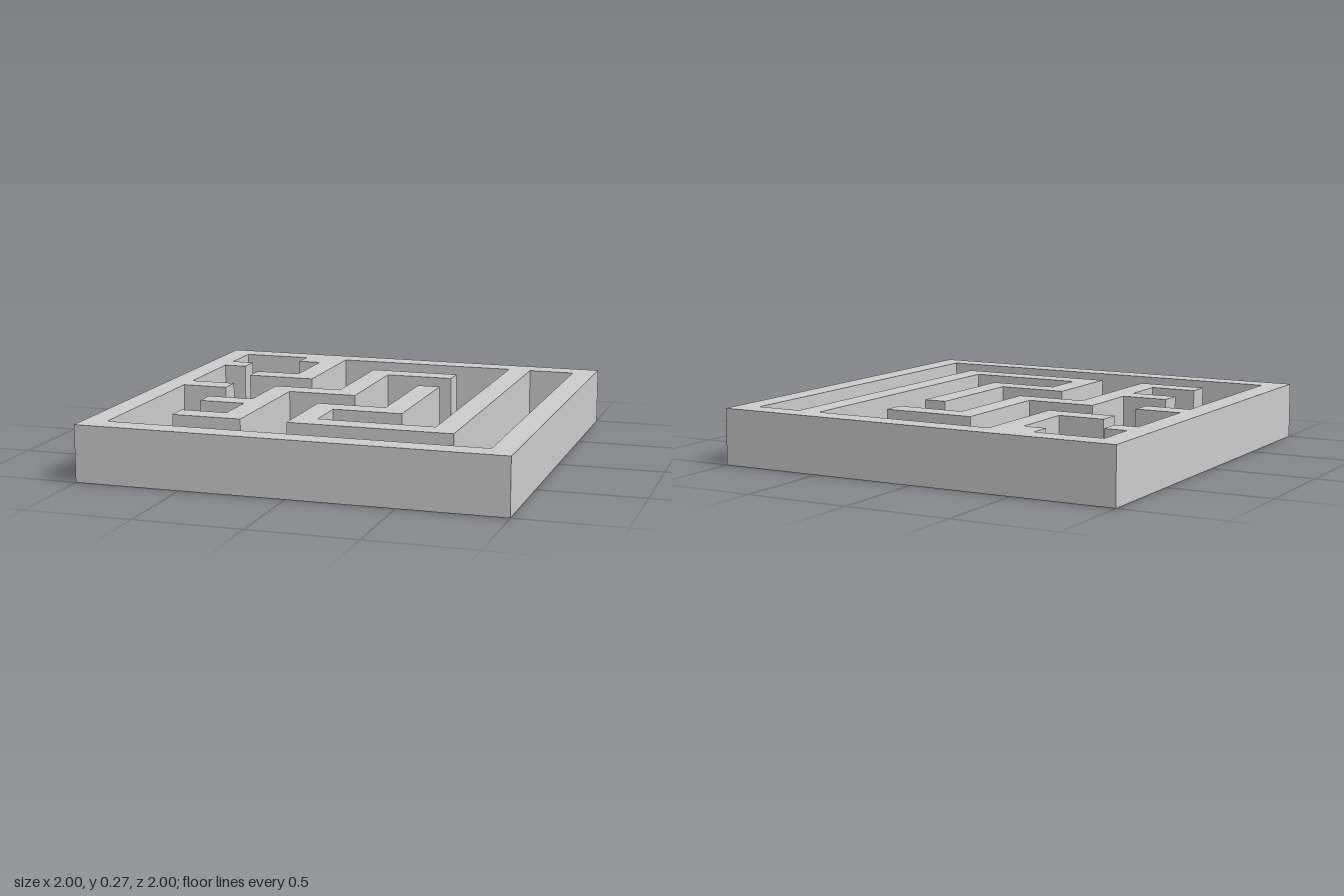
import * as THREE from 'three';

const CELL = 1 / 9; // the plan sits on an 18 x 18 grid of cells
const HEIGHT = 0.267;

// Outlines are flat lists of x, z in cells.
const toPoints = (plan) => {
  const points = [];
  for (let i = 0; i < plan.length; i += 2) {
    points.push(new THREE.Vector2(plan[i] * CELL, -plan[i + 1] * CELL));
  }
  return points;
};

// Hollow wall: extruded outline with a top and sides, open underneath.
function wall(name, outline, hole) {
  const shape = new THREE.Shape(toPoints(outline));
  if (hole) shape.holes.push(new THREE.Path(toPoints(hole)));
  const solid = new THREE.ExtrudeGeometry(shape, { depth: HEIGHT, bevelEnabled: false });
  solid.rotateX(-Math.PI / 2);

  const pos = solid.attributes.position;
  const normal = solid.attributes.normal;
  const kept = [];
  for (let i = 0; i < pos.count; i += 3) {
    if (normal.getY(i) < -0.5) continue; // leave out the underside
    for (let k = i; k < i + 3; k++) kept.push(pos.getX(k), pos.getY(k), pos.getZ(k));
  }
  const geometry = new THREE.BufferGeometry();
  geometry.setAttribute('position', new THREE.Float32BufferAttribute(kept, 3));
  geometry.computeVertexNormals();

  const mesh = new THREE.Mesh(geometry, new THREE.MeshStandardMaterial({
    color: 0xcccccc, flatShading: true, side: THREE.DoubleSide,
  }));
  mesh.name = name;
  return mesh;
}

export function createModel() {
  const group = new THREE.Group();
  group.name = 'maze';

  // Square frame with every wall that joins it
  const square = [-9, -9, 9, -9, 9, 9, -9, 9];
  const corridor = [
    // back left hook
    -8, -8, -5, -8, -5, -7, -4, -7, -4, -4, -6, -4, -6, -3, -3, -3, -3, -8,
    // long wall and its spiral
    5, -8, 5, 5, 0, 5, 0, 3, 3, 3, 3, -3, 2, -3, 2, 2, -1, 2, -1, 6, 6, 6, 6, -8,
    // right and front sides
    8, -8, 8, 8, -8, 8,
    // stubs on the other side
    -8, 0, -6, 0, -6, -1, -8, -1, -8, -5, -7, -5, -7, -6, -8, -6,
  ];
  group.add(wall('outerWalls', square, corridor));

  // Free-standing branching wall in the middle
  const island = [
    -1, -6, 3, -6, 3, -5, 0, -5, 0, 0, -3, 0, -3, 6, -6, 6,
    -6, 5, -4, 5, -4, 3, -6, 3, -6, 2, -4, 2, -4, -1, -1, -1,
  ];
  group.add(wall('innerWall', island));

  return group;
}
